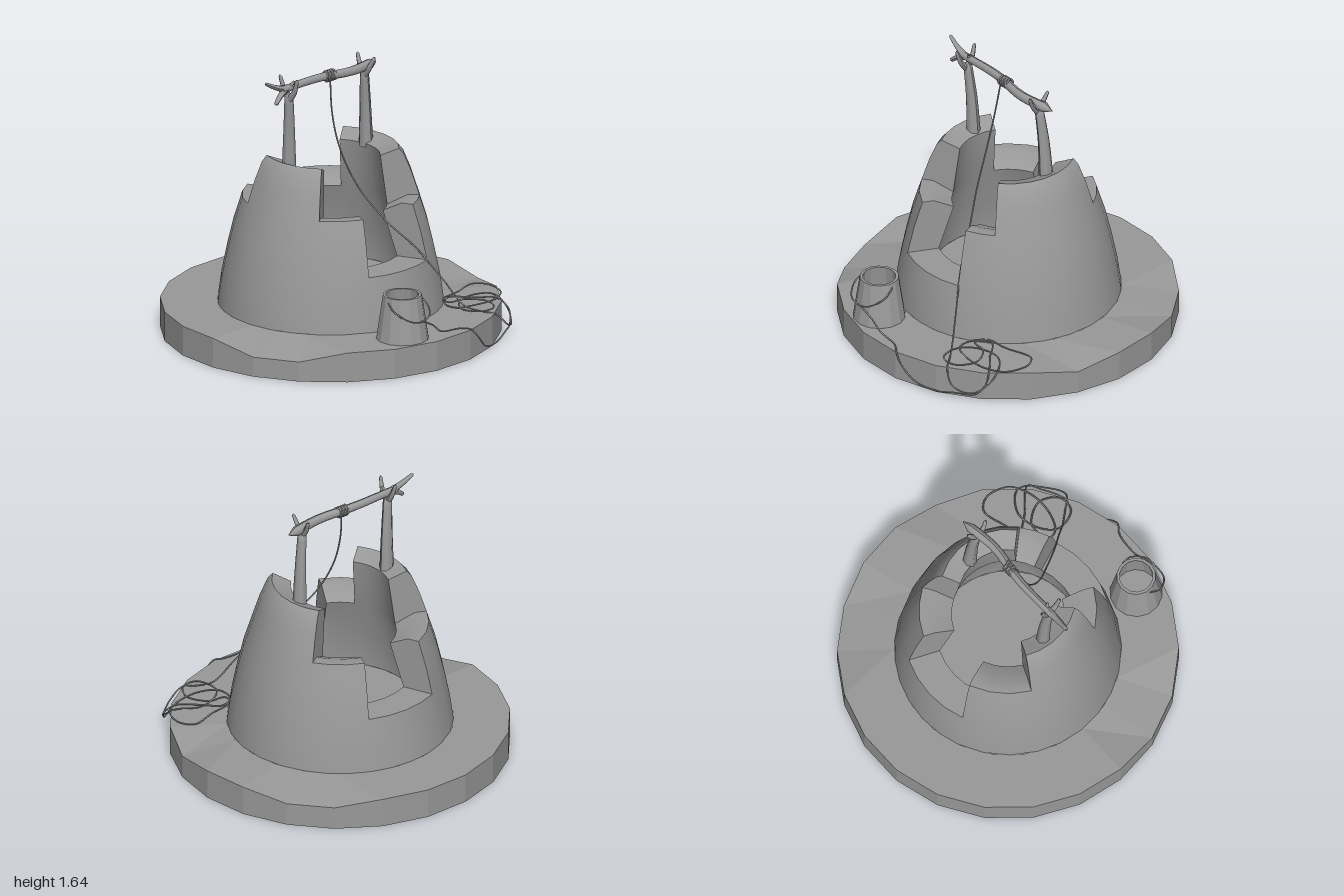
import * as THREE from 'three';
import { mergeGeometries, toCreasedNormals } from 'three/addons/utils/BufferGeometryUtils.js';

const mat = new THREE.MeshStandardMaterial({ color: 0x999999, side: THREE.DoubleSide });
const flat = new THREE.MeshStandardMaterial({ color: 0x999999, side: THREE.DoubleSide, flatShading: true });
const rad = THREE.MathUtils.degToRad;
const v2 = ([x, y]) => new THREE.Vector2(x, y);
const curve = (pts) => new THREE.CatmullRomCurve3(pts.map((p) => new THREE.Vector3(...p)));

function add(parent, name, geometry, material = mat) {
  const mesh = new THREE.Mesh(geometry, material);
  mesh.name = name;
  parent.add(mesh);
  return mesh;
}

// Broken stone wall: columns of three heights around the axis, joined by end faces
function createWall() {
  const foot = [[0.665, 0.18], [0.642, 0.34], [0.61, 0.5]];
  const inside = [[0.42, 0.5], [0.44, 0.3]];
  const midOuter = [[0.57, 0.67], [0.52, 0.83]];
  const midTop = [[0.45, 0.83], [0.33, 0.77]];
  const crown = [[0.475, 0.97], [0.43, 1.08], [0.4, 1.115], [0.29, 1.07], [0.33, 0.77]];
  const profiles = [
    [...foot, ...inside],
    [...foot, ...midOuter, ...midTop, ...inside],
    [...foot, ...midOuter, ...crown, ...inside],
  ];
  // End faces exposed at a step up to the middle and upper tiers
  const faces = [null, [[0.61, 0.5], ...midOuter, ...midTop, [0.42, 0.5]], [[0.52, 0.83], ...crown, [0.45, 0.83]]];
  // Start azimuth (degrees from +z towards +x) and tier of each column
  const columns = [[-25, 0], [21, 1], [41, 2], [123, 1], [157, 0], [203, 1], [244, 2], [306, 1], [335, 0]];
  const parts = [];
  for (let i = 0; i < columns.length - 1; i++) {
    const [a, tier] = columns[i];
    const [b, next] = columns[i + 1];
    const segments = Math.max(2, Math.round((b - a) / 13));
    parts.push(new THREE.LatheGeometry(profiles[tier].map(v2), segments, rad(a), rad(b - a)));
    const face = new THREE.Shape(faces[Math.max(tier, next)].map(v2));
    parts.push(new THREE.ShapeGeometry(face).rotateY(rad(b) - Math.PI / 2));
  }
  return toCreasedNormals(mergeGeometries(parts), rad(32));
}

// Tapered branch along a curve, closed at its tip
function branch(pts, r0, r1, sides = 7) {
  const c = curve(pts);
  const n = 14;
  const g = new THREE.TubeGeometry(c, n, 1, sides, false);
  const pos = g.attributes.position;
  const p = new THREE.Vector3();
  for (let i = 0; i <= n; i++) {
    const mid = c.getPointAt(i / n);
    const r = i === n ? 0.003 : THREE.MathUtils.lerp(r0, r1, i / n);
    for (let j = 0; j <= sides; j++) {
      const k = i * (sides + 1) + j;
      p.fromBufferAttribute(pos, k).sub(mid).multiplyScalar(r).add(mid);
      pos.setXYZ(k, p.x, p.y, p.z);
    }
  }
  g.computeVertexNormals();
  return g;
}

const rope = (pts, n = 60) => new THREE.TubeGeometry(curve(pts), n, 0.005, 5, false);

function createBase() {
  // 22-sided slab, open underneath, with a few worn rim corners
  const step = 360 / 22;
  const g = new THREE.LatheGeometry([[1, 0], [1, 0.18], [0.665, 0.18]].map(v2), 22, rad(step / 2));
  const worn = { 74: 0.14, 123: 0.14, 139: 0.14, 286: 0.12, 303: 0.12 };
  const pos = g.attributes.position;
  for (let i = 0; i < pos.count; i++) {
    if (Math.hypot(pos.getX(i), pos.getZ(i)) < 0.9 || pos.getY(i) < 0.1) continue;
    const a = Math.round((rad(360) + Math.atan2(pos.getX(i), pos.getZ(i))) * 180 / Math.PI) % 360;
    if (worn[a]) pos.setY(i, worn[a]);
  }
  return g;
}

export function createModel() {
  const model = new THREE.Group();
  model.name = 'well';

  // Slab, wall and inner floor
  const masonry = new THREE.Group();
  masonry.name = 'masonry';
  masonry.position.z = -0.01;
  model.add(masonry);
  add(masonry, 'base', createBase(), flat);
  add(masonry, 'stoneWall', createWall());
  const floor = add(masonry, 'wellFloor', new THREE.CircleGeometry(0.44, 24));
  floor.rotation.x = -Math.PI / 2;
  floor.position.y = 0.3;

  // Forked posts: trunk plus two prongs cradling the bar
  const posts = [
    ['rightPost', [-0.335, 1.05, -0.03], [-0.362, 1.55, -0.005], [-0.37, 1.64]],
    ['leftPost', [0.32, 1.05, -0.03], [0.28, 1.54, -0.005], [0.29, 1.62]],
  ];
  for (const [name, foot, top, tip] of posts) {
    const post = new THREE.Group();
    post.name = name;
    model.add(post);
    const mid = [(foot[0] + top[0]) / 2 + 0.006, 1.3, -0.022];
    add(post, 'trunk', branch([foot, mid, top], 0.044, 0.026));
    for (const s of [1, -1]) {
      add(post, 'prong', branch([[top[0], 1.5, 0], [top[0], 1.555, s * 0.04], [...tip, s * 0.07]], 0.021, 0.01, 6));
    }
  }

  // Crossbar with a forked end and a twig
  const bar = new THREE.Group();
  bar.name = 'crossbar';
  model.add(bar);
  add(bar, 'pole', branch([[-0.42, 1.57, -0.01], [-0.1, 1.567, -0.015], [0.15, 1.555, 0.015], [0.37, 1.55, -0.015], [0.39, 1.549, -0.015]], 0.022, 0.031, 8));
  add(bar, 'upperFork', branch([[-0.38, 1.57, -0.01], [-0.45, 1.59, -0.015], [-0.54, 1.635, -0.025]], 0.022, 0.011, 6));
  add(bar, 'lowerFork', branch([[-0.38, 1.57, -0.01], [-0.44, 1.54, 0], [-0.49, 1.5, 0.01]], 0.022, 0.013, 6));
  add(bar, 'twig', branch([[-0.35, 1.57, -0.01], [-0.34, 1.59, 0], [-0.33, 1.61, 0.01]], 0.015, 0.006, 5));

  // Rope wrapped round the bar
  for (let i = 0; i < 6; i++) {
    const loop = add(model, 'ropeWrap', new THREE.TorusGeometry(0.031, 0.006, 5, 14));
    loop.position.set(-0.042 + i * 0.011, 1.563, -0.008);
    loop.rotation.y = Math.PI / 2 + (i % 2 ? 0.4 : -0.4);
  }

  // Rope hanging through the front gap, coiled on the base and led to the bucket
  add(model, 'hangingRope', rope([
    [-0.035, 1.54, 0.02], [-0.05, 1.35, 0.05], [-0.048, 1.15, 0.11], [-0.01, 0.93, 0.22],
    [0.08, 0.73, 0.36], [0.18, 0.57, 0.51], [0.28, 0.38, 0.63], [0.36, 0.22, 0.73], [0.42, 0.19, 0.8],
  ]));
  add(model, 'coiledRope', rope([
    [0.42, 0.19, 0.8], [0.48, 0.17, 0.87], [0.55, 0.1, 0.89], [0.65, 0.07, 0.83], [0.71, 0.13, 0.74],
    [0.69, 0.195, 0.65], [0.58, 0.2, 0.58], [0.43, 0.2, 0.62], [0.36, 0.195, 0.71], [0.4, 0.2, 0.83],
    [0.5, 0.2, 0.83], [0.56, 0.2, 0.72], [0.49, 0.2, 0.6], [0.39, 0.2, 0.58], [0.4, 0.2, 0.51],
    [0.56, 0.2, 0.48], [0.73, 0.2, 0.44], [0.785, 0.2, 0.51], [0.75, 0.195, 0.65], [0.62, 0.195, 0.72],
    [0.46, 0.2, 0.72], [0.36, 0.195, 0.67], [0.36, 0.195, 0.57], [0.46, 0.2, 0.51], [0.57, 0.195, 0.62],
    [0.66, 0.19, 0.7], [0.7, 0.13, 0.76], [0.66, 0.06, 0.81], [0.56, 0.05, 0.87], [0.43, 0.025, 0.92],
    [0.3, 0.04, 0.96], [0.2, 0.13, 0.99], [0.15, 0.185, 0.98], [0.1, 0.195, 0.945], [-0.05, 0.21, 0.93],
    [-0.13, 0.27, 0.935], [-0.23, 0.32, 0.945],
  ], 220));

  // Bucket with a wall thickness, bottom and hanging handle
  const bucket = new THREE.Group();
  bucket.name = 'bucket';
  bucket.position.set(-0.23, 0.18, 0.785);
  model.add(bucket);
  add(bucket, 'pail', new THREE.LatheGeometry([[0, 0.002], [0.155, 0.002], [0.115, 0.27], [0.098, 0.27], [0.125, 0.04], [0, 0.04]].map(v2), 14), flat);
  add(bucket, 'handle', rope([
    [-0.12, 0.24, 0], [-0.135, 0.2, 0.07], [-0.08, 0.15, 0.145], [0, 0.135, 0.16],
    [0.08, 0.155, 0.145], [0.13, 0.2, 0.07], [0.12, 0.245, 0],
  ], 30));

  return model;
}
